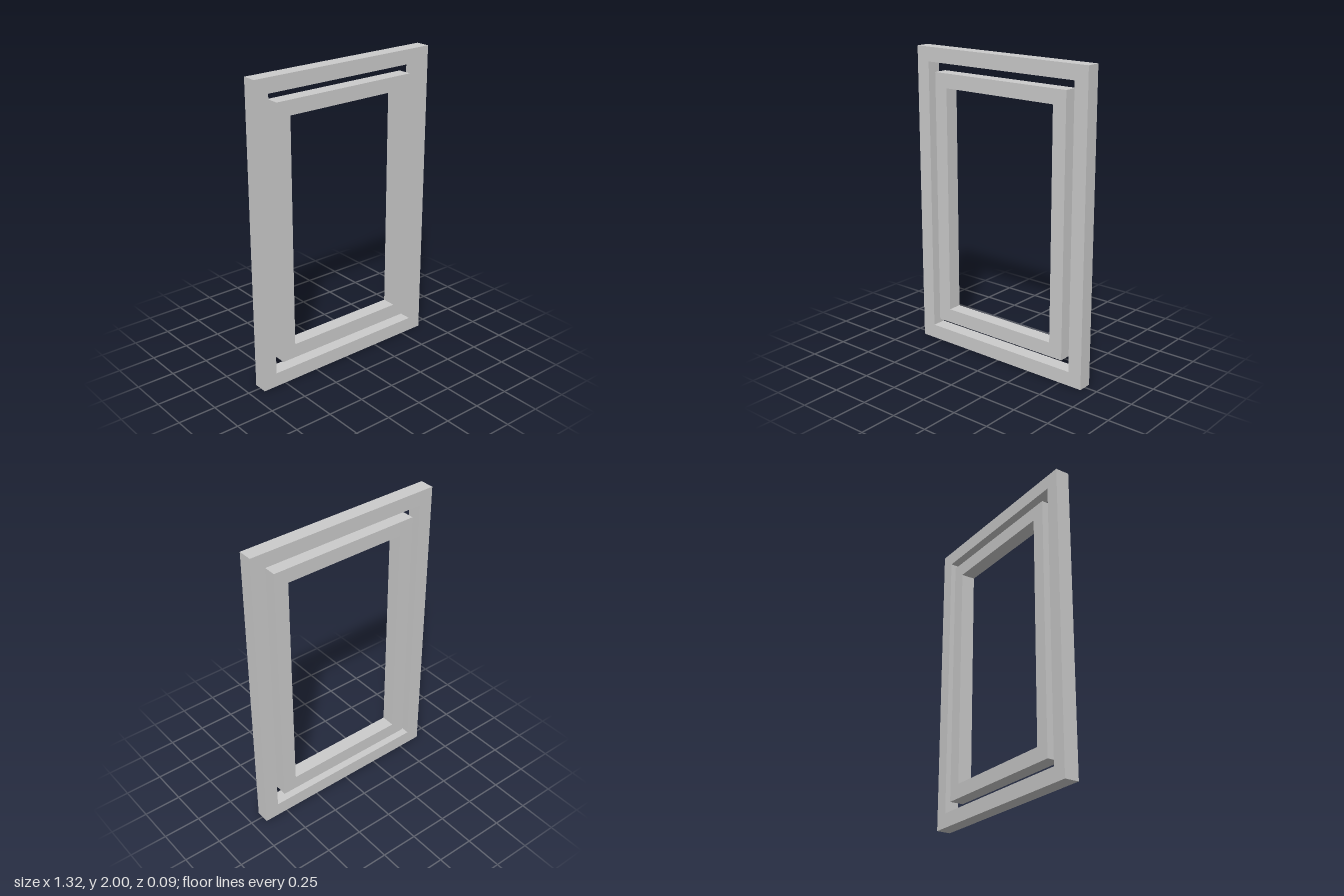
import * as THREE from 'three';

const DEPTH = 0.094;
const CENTER_Y = 1;

// Rectangular outline centred on the origin
function rectangle(Path, halfW, halfH) {
  return new Path([
    new THREE.Vector2(-halfW, -halfH),
    new THREE.Vector2(halfW, -halfH),
    new THREE.Vector2(halfW, halfH),
    new THREE.Vector2(-halfW, halfH),
  ]);
}

// Flat rectangular frame with a rectangular opening
function frame(name, halfW, halfH, bar, material) {
  const shape = rectangle(THREE.Shape, halfW, halfH);
  shape.holes.push(rectangle(THREE.Path, halfW - bar, halfH - bar));
  const geometry = new THREE.ExtrudeGeometry(shape, { depth: DEPTH, bevelEnabled: false });
  geometry.translate(0, CENTER_Y, -DEPTH / 2);
  const mesh = new THREE.Mesh(geometry, material);
  mesh.name = name;
  return mesh;
}

export function createModel() {
  const model = new THREE.Group();
  model.name = 'windowFrame';
  const grey = new THREE.MeshStandardMaterial({ color: 0xcccccc });

  // Fixed surround, with the sash floating inside it
  model.add(frame('outerFrame', 0.661, 1, 0.094, grey));
  model.add(frame('innerSash', 0.511, 0.845, 0.094, grey));
  return model;
}
